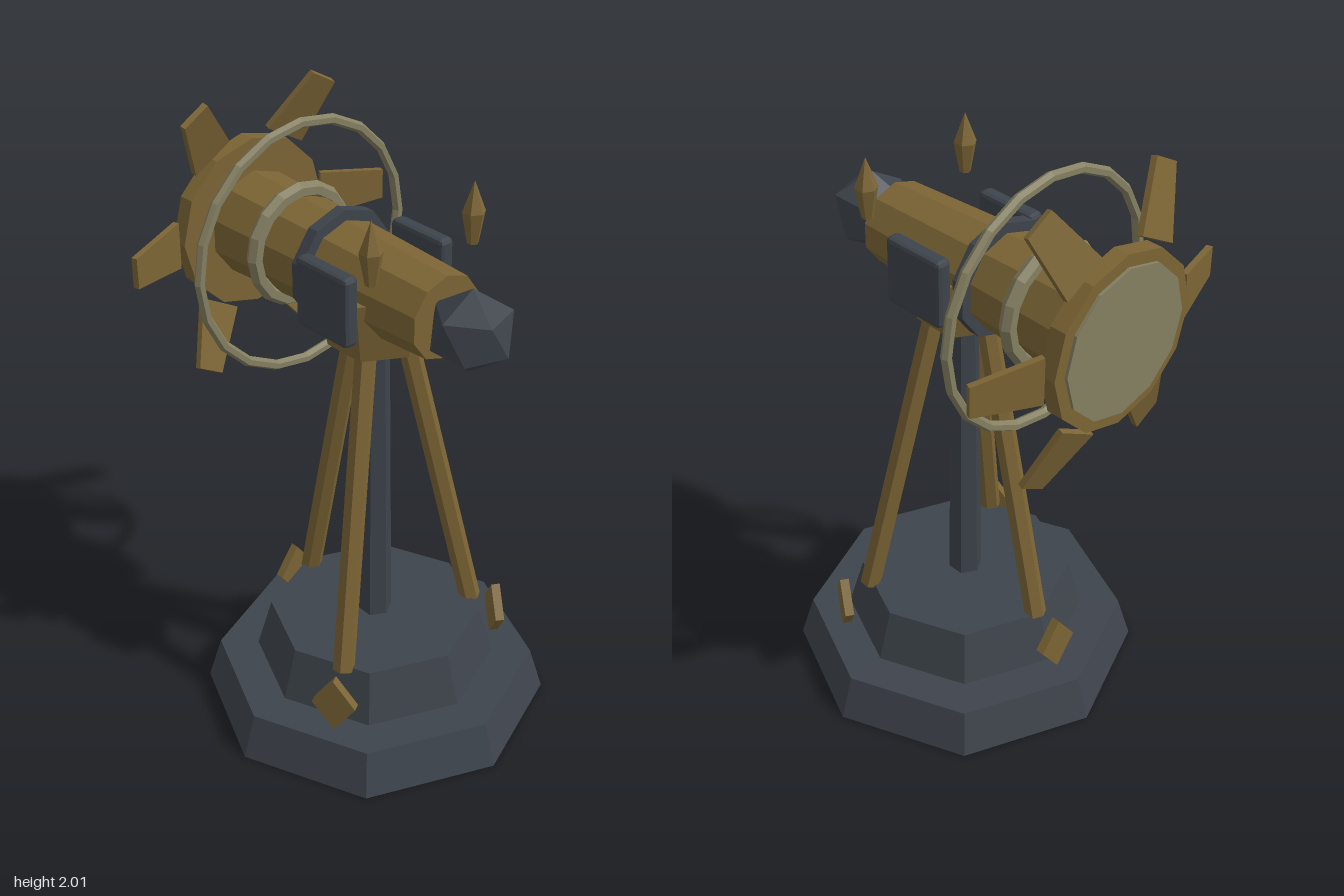
import * as THREE from 'three';
import { RoundedBoxGeometry } from 'three/addons/geometries/RoundedBoxGeometry.js';

const AXIS_Y = 1.545; // height of the barrel's axis
const BASE_Z = 0.03; // centre of the stand

export function createModel() {
  const model = new THREE.Group();
  model.name = 'turret';

  const flat = (name, color) => {
    const m = new THREE.MeshStandardMaterial({ color, flatShading: true });
    m.name = name;
    return m;
  };
  const slate = flat('slate', 0x3e444c);
  const brass = flat('brass', 0x7c6535);
  const paleMetal = flat('paleMetal', 0x858062);

  const add = (name, geometry, material, x = 0, y = 0, z = 0) => {
    const mesh = new THREE.Mesh(geometry, material);
    mesh.name = name;
    mesh.position.set(x, y, z);
    model.add(mesh);
    return mesh;
  };

  // Upright tapered prism from y0 to y1, centred on the stand
  const tier = (name, r0, r1, y0, y1, sides, material) =>
    add(name, new THREE.CylinderGeometry(r1, r0, y1 - y0, sides), material, 0, (y0 + y1) / 2, BASE_Z);

  // Tapered prism along the barrel axis, from front to back
  const drum = (name, rFront, rBack, zFront, zBack, sides, material) =>
    add(name, new THREE.CylinderGeometry(rFront, rBack, zFront - zBack, sides).rotateX(Math.PI / 2),
      material, 0, AXIS_Y, (zFront + zBack) / 2);

  // Flat plate from outline points, centred on its thickness
  const plate = (points, depth) => {
    const shape = new THREE.Shape(points.map(([x, y]) => new THREE.Vector2(x, y)));
    return new THREE.ExtrudeGeometry(shape, { depth, bevelEnabled: false }).translate(0, 0, -depth / 2);
  };

  // Stand
  tier('baseLower', 0.575, 0.53, 0, 0.15, 8, slate);
  tier('baseUpper', 0.4, 0.35, 0.15, 0.325, 8, slate);
  tier('column', 0.056, 0.044, 0.32, 1.4, 6, slate);
  tier('mount', 0.148, 0.185, 1.35, 1.55, 6, brass);

  // Three legs, each with a diamond plate at its foot
  const up = new THREE.Vector3(0, 1, 0);
  for (const deg of [30, 150, 270]) {
    const a = THREE.MathUtils.degToRad(deg);
    const at = (r, y) => new THREE.Vector3(Math.cos(a) * r, y, BASE_Z + Math.sin(a) * r);
    const foot = at(0.33, 0.315);
    const top = at(0.09, 1.38);
    const dir = top.clone().sub(foot);
    const leg = add('leg', new THREE.CylinderGeometry(0.034, 0.036, dir.length(), 6), brass);
    leg.position.copy(foot).add(top).multiplyScalar(0.5);
    leg.quaternion.setFromUnitVectors(up, dir.normalize());

    const diamond = plate([[0, -0.1], [0.073, 0], [0, 0.1], [-0.073, 0]], 0.03);
    const mesh = add('footDiamond', diamond, brass);
    mesh.position.copy(at(0.42, 0.246));
    mesh.rotation.y = Math.PI / 2 - a;
  }

  // Barrel with its collar, rim and rear disc
  drum('barrel', 0.133, 0.173, 0.33, -0.56, 10, brass);
  drum('barrelCollar', 0.187, 0.187, -0.103, -0.143, 10, slate);
  drum('rearRim', 0.28, 0.28, -0.54, -0.595, 12, brass);
  drum('rearDisc', 0.24, 0.24, -0.59, -0.605, 12, paleMetal);
  add('barrelBand', new THREE.TorusGeometry(0.178, 0.026, 6, 16), paleMetal, 0, AXIS_Y, -0.322);
  add('hoop', new THREE.TorusGeometry(0.4, 0.017, 6, 20), paleMetal, 0, AXIS_Y, -0.305);

  // Faceted orb at the muzzle, one corner pointing up
  const orb = new THREE.IcosahedronGeometry(0.132, 0).rotateZ(Math.atan(2 / (1 + Math.sqrt(5))));
  add('muzzleOrb', orb, slate, 0, AXIS_Y, 0.432);

  // Ring of forward-leaning fins
  const outline = [[0, -0.077], [0.222, -0.05], [0.222, 0.05], [0, 0.077]];
  for (let i = 0; i < 6; i++) {
    const fin = plate(outline, 0.02).rotateY(-0.33).translate(0.29, 0, -0.563).rotateZ((i * Math.PI) / 3);
    add('fin', fin, brass, 0, AXIS_Y, 0);
  }

  // Side panels and floating spikes
  const profile = [[0, -0.1], [0.018, -0.1], [0.036, 0], [0, 0.097]].map(([x, y]) => new THREE.Vector2(x, y));
  for (const side of [1, -1]) {
    add('sidePanel', new RoundedBoxGeometry(0.052, 0.224, 0.224, 1, 0.014), slate, side * 0.19, 1.548, 0.027);
    add('spike', new THREE.LatheGeometry(profile, 6), brass, side * 0.2, 1.78, 0.23);
  }

  return model;
}
